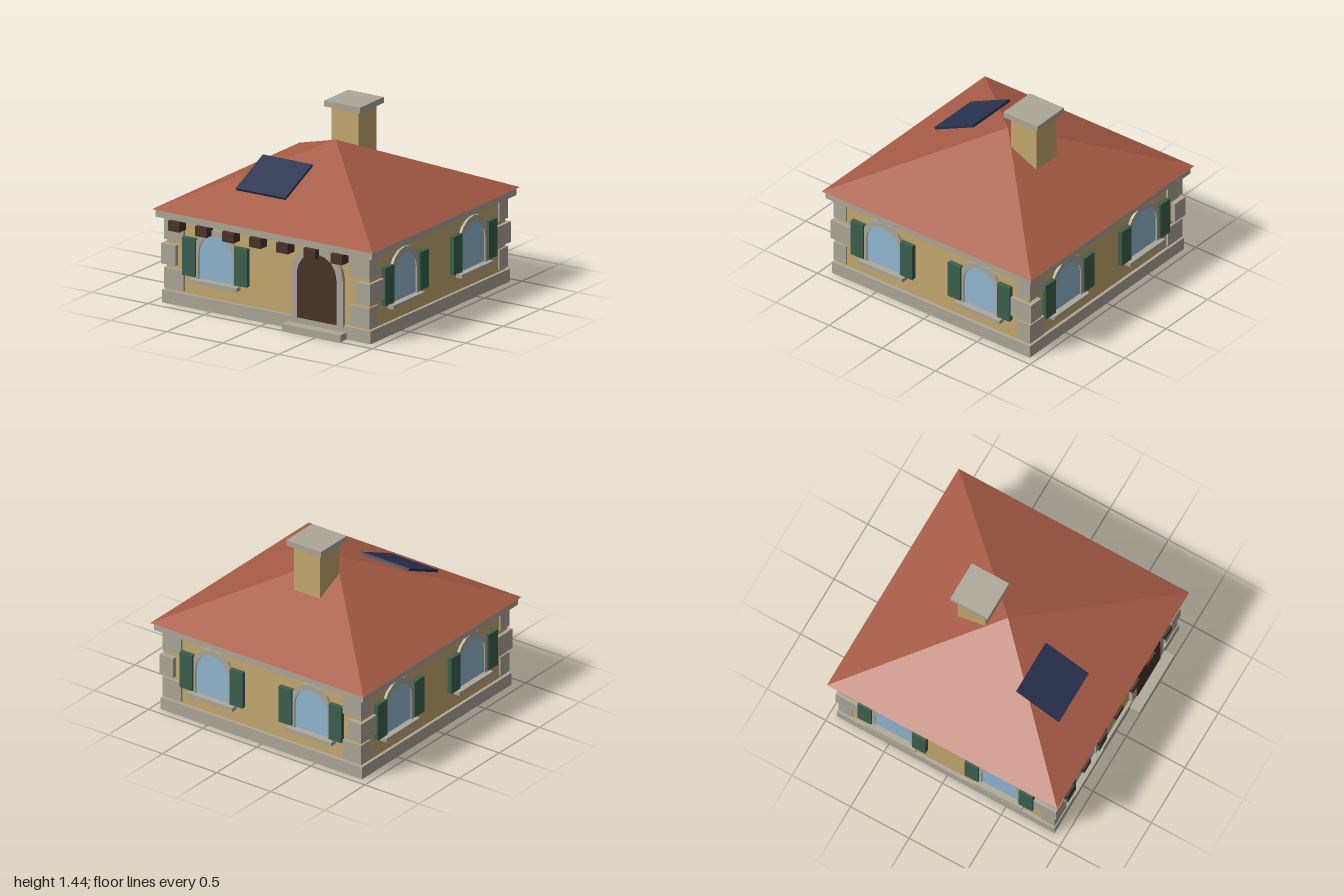
import * as THREE from 'three';

const mat = (name, color) => {
  const m = new THREE.MeshStandardMaterial({ color });
  m.name = name;
  return m;
};

export function createModel() {
  const stone = mat('stone', 0xaea899);
  const plaster = mat('plaster', 0xc6aa70);
  const tile = mat('roof tile', 0xa85c45);
  const glass = mat('glass', 0x93b8d2);
  const wood = mat('dark wood', 0x4b332b);
  const green = mat('shutter green', 0x3c604e);
  const navy = mat('solar navy', 0x28324f);

  const root = new THREE.Group();
  root.name = 'cottage';
  const house = new THREE.Group();
  house.name = 'house';
  house.position.z = -0.013;
  root.add(house);

  const add = (parent, name, geometry, material) => {
    const mesh = new THREE.Mesh(geometry, material);
    mesh.name = name;
    parent.add(mesh);
    return mesh;
  };
  // Box given by its minimum and maximum along each axis
  const box = (parent, name, material, [x0, x1], [y0, y1], [z0, z1]) => {
    const mesh = add(parent, name, new THREE.BoxGeometry(x1 - x0, y1 - y0, z1 - z0), material);
    mesh.position.set((x0 + x1) / 2, (y0 + y1) / 2, (z0 + z1) / 2);
    return mesh;
  };
  const square = (name, material, h, y) => box(house, name, material, [-h, h], y, [-h, h]);

  // Round-headed outline, from the right foot over the arch to the left foot
  const archPoints = (r, base, spring) => {
    const pts = [new THREE.Vector2(r, base)];
    for (let i = 0; i <= 8; i++) {
      const a = (i / 8) * Math.PI;
      pts.push(new THREE.Vector2(r * Math.cos(a), spring + r * Math.sin(a)));
    }
    pts.push(new THREE.Vector2(-r, base));
    return pts;
  };
  const extrude = (parent, name, material, pts, x, z0, z1) => {
    const g = new THREE.ExtrudeGeometry(new THREE.Shape(pts), { depth: z1 - z0, bevelEnabled: false });
    add(parent, name, g, material).position.set(x, 0, z0);
  };
  const archPanel = (parent, name, material, x, r, base, spring, z0, z1) =>
    extrude(parent, name, material, archPoints(r, base, spring), x, z0, z1);
  const archFrame = (parent, name, x, outer, inner, base, spring, z0, z1) =>
    extrude(parent, name, stone,
      [...archPoints(outer, base, spring), ...archPoints(inner, base, spring).reverse()], x, z0, z1);

  // Main body
  square('plinth', stone, 0.93, [0, 0.1]);
  square('walls', plaster, 0.905, [0.1, 0.67]);
  square('cornice', stone, 0.966, [0.67, 0.73]);
  const roofGeo = new THREE.ConeGeometry(0.985 * Math.SQRT2, 0.455, 4, 1).toNonIndexed();
  roofGeo.rotateY(Math.PI / 4);
  roofGeo.computeVertexNormals();
  add(house, 'roof', roofGeo, tile).position.y = 0.73 + 0.455 / 2;

  // Corner stones, alternating long and short on each face
  for (const sx of [-1, 1]) {
    for (const sz of [-1, 1]) {
      for (let i = 0; i < 3; i++) {
        const [x0, x1, z0, z1] = i === 1 ? [0.805, 0.932, 0.75, 0.942] : [0.745, 0.918, 0.81, 0.925];
        const y0 = 0.116 + i * 0.19;
        const q = box(house, 'cornerStone', stone, [x0, x1], [y0, y0 + 0.16], [z0, z1]);
        q.position.x *= sx;
        q.position.z *= sz;
      }
    }
  }

  // Shuttered arched window on a wall facing +z
  const windowAt = (wall, x) => {
    archPanel(wall, 'windowGlass', glass, x, 0.152, 0.24, 0.44, 0.9, 0.914);
    archFrame(wall, 'windowFrame', x, 0.2, 0.152, 0.235, 0.44, 0.9, 0.926);
    box(wall, 'windowSill', stone, [x - 0.21, x + 0.21], [0.205, 0.236], [0.9, 0.96]);
    for (const s of [-1, 1]) {
      const c = x + s * 0.232;
      box(wall, 'shutter', green, [c - 0.058, c + 0.058], [0.25, 0.546], [0.9, 0.942]);
    }
  };
  ['frontWall', 'leftWall', 'backWall', 'rightWall'].forEach((name, i) => {
    const wall = new THREE.Group();
    wall.name = name;
    wall.rotation.y = (i * Math.PI) / 2;
    house.add(wall);
    windowAt(wall, -0.457);
    if (i > 0) windowAt(wall, 0.457);
  });

  // Front door with arched surround and step
  archFrame(house, 'doorFrame', 0.455, 0.232, 0.174, 0.085, 0.445, 0.9, 0.936);
  archPanel(house, 'door', wood, 0.455, 0.174, 0.1, 0.445, 0.9, 0.945);
  box(house, 'doorStep', stone, [0.195, 0.715], [0, 0.052], [0.9, 1.013]);

  // Projecting beam ends under the eaves
  for (let i = 0; i < 7; i++) {
    const x = -0.787 + i * 0.242;
    box(house, 'beamEnd', wood, [x - 0.051, x + 0.051], [0.592, 0.668], [0.88, 0.993]);
  }

  // Chimney
  box(root, 'chimney', plaster, [-0.12, 0.12], [0.95, 1.395], [-0.375, -0.135]);
  box(root, 'chimneyCap', stone, [-0.16, 0.16], [1.395, 1.44], [-0.415, -0.095]);

  // Solar panel parallel to the front roof slope
  const panel = add(root, 'solarPanel', new THREE.BoxGeometry(0.44, 0.02, 0.4), navy);
  panel.position.set(-0.215, 0.987, 0.49);
  panel.rotation.x = Math.atan2(0.455, 0.985);

  return root;
}
